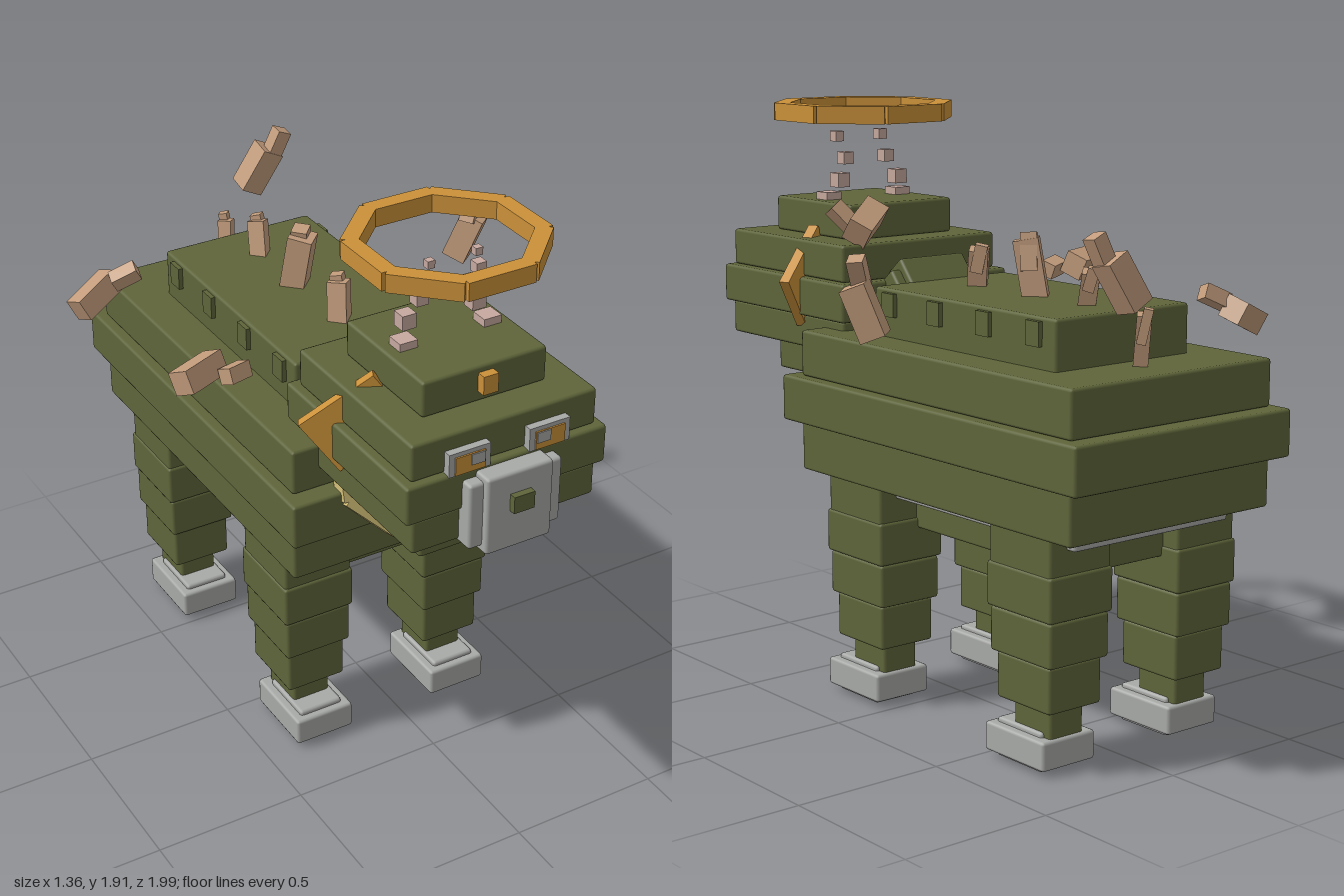
import * as THREE from 'three';
import { RoundedBoxGeometry } from 'three/addons/geometries/RoundedBoxGeometry.js';

const mat = (name, color) => {
  const m = new THREE.MeshStandardMaterial({ color });
  m.name = name;
  return m;
};
const CX = -0.037; // centre line of the animal

export function createModel() {
  const root = new THREE.Group();
  root.name = 'blockBeast';
  const green = mat('mossGreen', 0x5f653a);
  const grey = mat('stoneGrey', 0xa8aaa7);
  const orange = mat('amber', 0xcb913a);
  const straw = mat('straw', 0xd3bf78);
  const bone = mat('boneTan', 0xc29c7c);
  const pink = mat('palePink', 0xc7a99f);

  const add = (name, geo, material, x, y, z, parent = root) => {
    const m = new THREE.Mesh(geo, material);
    m.name = name;
    m.position.set(x, y, z);
    parent.add(m);
    return m;
  };
  const box = (name, material, x, y, z, w, h, d, parent) =>
    add(name, new THREE.BoxGeometry(w, h, d), material, x, y, z, parent);
  // Bevelled slab on the centre line, given by half width and y / z ranges
  const slab = (name, material, hw, y0, y1, z0, z1, x = CX, r = 0.01) =>
    add(name, new RoundedBoxGeometry(hw * 2, y1 - y0, z1 - z0, 1, r), material, x, (y0 + y1) / 2, (z0 + z1) / 2);

  // Body: stacked slabs
  slab('bodyLower', green, 0.402, 0.74, 0.9, -0.94, 0.372);
  slab('bodyMiddle', green, 0.435, 0.9, 1.05, -0.996, 0.434);
  slab('bodyUpper', green, 0.402, 1.05, 1.2, -0.94, 0.372);
  slab('backHump', green, 0.267, 1.19, 1.355, -0.72, 0.153);
  slab('bellyPlate', grey, 0.312, 0.697, 0.745, -0.86, 0.3);
  slab('belly', green, 0.23, 0.59, 0.7, -0.76, 0.2);
  for (const s of [-1, 1])
    for (const z of [0.067, -0.163, -0.4, -0.63])
      box('humpStud', green, CX + s * 0.27, 1.305, z, 0.024, 0.075, 0.06);

  // Legs: [width, depth, bottom, top]
  const segments = [
    [0.237, 0.275, 0.61, 0.745], [0.247, 0.29, 0.485, 0.625], [0.23, 0.275, 0.345, 0.485],
    [0.204, 0.24, 0.2, 0.345], [0.13, 0.166, 0.09, 0.2],
  ];
  for (const s of [-1, 1])
    for (const z of [0.125, -0.688]) {
      const x = CX + s * 0.256;
      for (const [w, d, y0, y1] of segments) slab('legSegment', green, w / 2, y0, y1, z - d / 2, z + d / 2, x);
      slab('foot', grey, 0.103, 0.018, 0.11, z - 0.095, z + 0.175, x);
      slab('footCore', grey, 0.076, 0, 0.125, z - 0.055, z + 0.15, x);
    }

  // Neck: two tilted blocks between the body and head
  for (const [w, y, z, h] of [[0.33, 1.24, 0.23, 0.2], [0.26, 1.26, 0.215, 0.24]]) {
    const neck = add('neck', new RoundedBoxGeometry(w, h, 0.24, 1, 0.01), green, CX, y, z);
    neck.rotation.x = 0.7;
  }

  // Head: stacked slabs
  slab('jaw', green, 0.21, 1.0, 1.13, 0.36, 0.78);
  slab('cheeks', green, 0.313, 1.12, 1.23, 0.26, 0.9);
  slab('face', green, 0.34, 1.23, 1.355, 0.228, 0.913);
  slab('brow', green, 0.313, 1.355, 1.475, 0.26, 0.89);
  slab('crown', green, 0.21, 1.475, 1.59, 0.36, 0.78);
  slab('muzzle', grey, 0.157, 1.112, 1.327, 0.8, 0.953);
  slab('muzzleCore', grey, 0.112, 1.09, 1.345, 0.79, 0.975);
  box('nose', green, CX, 1.248, 0.982, 0.07, 0.055, 0.03);
  box('foreheadGem', orange, CX, 1.54, 0.79, 0.05, 0.06, 0.04);
  for (const s of [-1, 1]) {
    const x = CX + s * 0.135;
    box('eyeFrame', grey, x, 1.388, 0.897, 0.138, 0.075, 0.036);
    box('eye', orange, x, 1.383, 0.916, 0.1, 0.058, 0.008);
    box('pupil', grey, x - s * 0.024, 1.393, 0.92, 0.045, 0.034, 0.008);

    // Diamond ears, swept back
    const ear = box('ear', orange, CX + s * 0.27, 1.35, 0.52, 0.27, 0.2, 0.035);
    ear.rotation.set(0, s * 0.49, -s * 0.645, 'YXZ');
  }

  // Octagonal rings built from eight bars
  const ring = (name, material, apothem, width, depth) => {
    const g = new THREE.Group();
    g.name = name;
    for (let i = 0; i < 8; i++) {
      const a = (i * Math.PI) / 4, r = apothem - width / 2;
      const bar = box(name + 'Bar', material, r * Math.cos(a), r * Math.sin(a), 0,
        width, 2 * (apothem - width * 0.3) * Math.tan(Math.PI / 8), depth, g);
      bar.rotation.z = a;
    }
    root.add(g);
    return g;
  };
  const halo = ring('halo', orange, 0.283, 0.052, 0.057);
  halo.position.set(CX, 1.88, 0.566);
  halo.rotation.x = Math.PI / 2;
  const collar = ring('collar', straw, 0.27, 0.05, 0.055);
  collar.position.set(CX, 1.12, 0.4);
  collar.rotation.x = -0.26;

  // Steam cubes rising from the crown: [offset, y, z, size]
  const puffs = [[0.143, 1.585, 0.57, 0.06], [0.119, 1.655, 0.54, 0.047], [0.084, 1.725, 0.557, 0.04],
    [0.09, 1.795, 0.595, 0.034], [0.08, 1.85, 0.6, 0.024]];
  for (const s of [-1, 1])
    for (const [o, y, z, size] of puffs) box('steamCube', pink, CX + s * o, y, z, size, size, size);

  // Bone shard: a box whose length follows a direction
  const up = new THREE.Vector3(0, 1, 0);
  const shard = (name, p, dir, len, w, spin = 0) => {
    const m = box(name, bone, ...p, w, len, w);
    m.quaternion.setFromUnitVectors(up, new THREE.Vector3(...dir).normalize());
    m.rotateY(spin);
  };

  // Back spikes: [z, base y, length, width, lean in z]
  for (const [z, y, len, w, lean] of [[-0.04, 1.4, 0.15, 0.062, -0.2], [-0.3, 1.43, 0.2, 0.08, 0.15],
    [-0.565, 1.4, 0.12, 0.055, -0.3], [-0.8, 1.27, 0.18, 0.045, -0.2]]) {
    shard('backSpike', [CX, y, z], [0.1, 1, lean], len, w, Math.PI / 4);
    shard('backSpikeTip', [CX + 0.015, y + len * 0.3, z + lean * len * 0.3 - 0.015], [-0.1, 1, lean], len * 0.6, w * 0.65, Math.PI / 4);
  }

  // Floating shards, each a large and a small piece
  shard('floatingShard', [-0.587, 1.37, 0.07], [0.16, 0, -0.07], 0.165, 0.075);
  shard('floatingShardTip', [-0.485, 1.36, 0.11], [0.09, -0.01, -0.035], 0.09, 0.05);
  shard('floatingShard', [-0.583, 1.285, -0.68], [0.16, 0.06, -0.06], 0.165, 0.075);
  shard('floatingShardTip', [-0.49, 1.345, -0.645], [0.08, 0.04, 0.03], 0.09, 0.05);
  shard('floatingShard', [0.603, 1.365, -0.3], [0.05, 0.16, 0.04], 0.165, 0.08, 0.7);
  shard('floatingShardTip', [0.605, 1.475, -0.275], [0.04, 0.1, -0.02], 0.1, 0.05, 0.7);
  shard('floatingShard', [0.145, 1.475, -0.905], [0.08, 0.15, 0.03], 0.16, 0.08);
  shard('floatingShardTip', [0.205, 1.57, -0.875], [0.04, 0.09, 0.01], 0.09, 0.05);
  shard('floatingShard', [0.155, 1.54, 0.3], [0.13, -0.06, -0.08], 0.165, 0.08);
  shard('floatingShardTip', [0.22, 1.56, 0.335], [0.06, 0.08, 0.05], 0.09, 0.05);

  return root;
}
